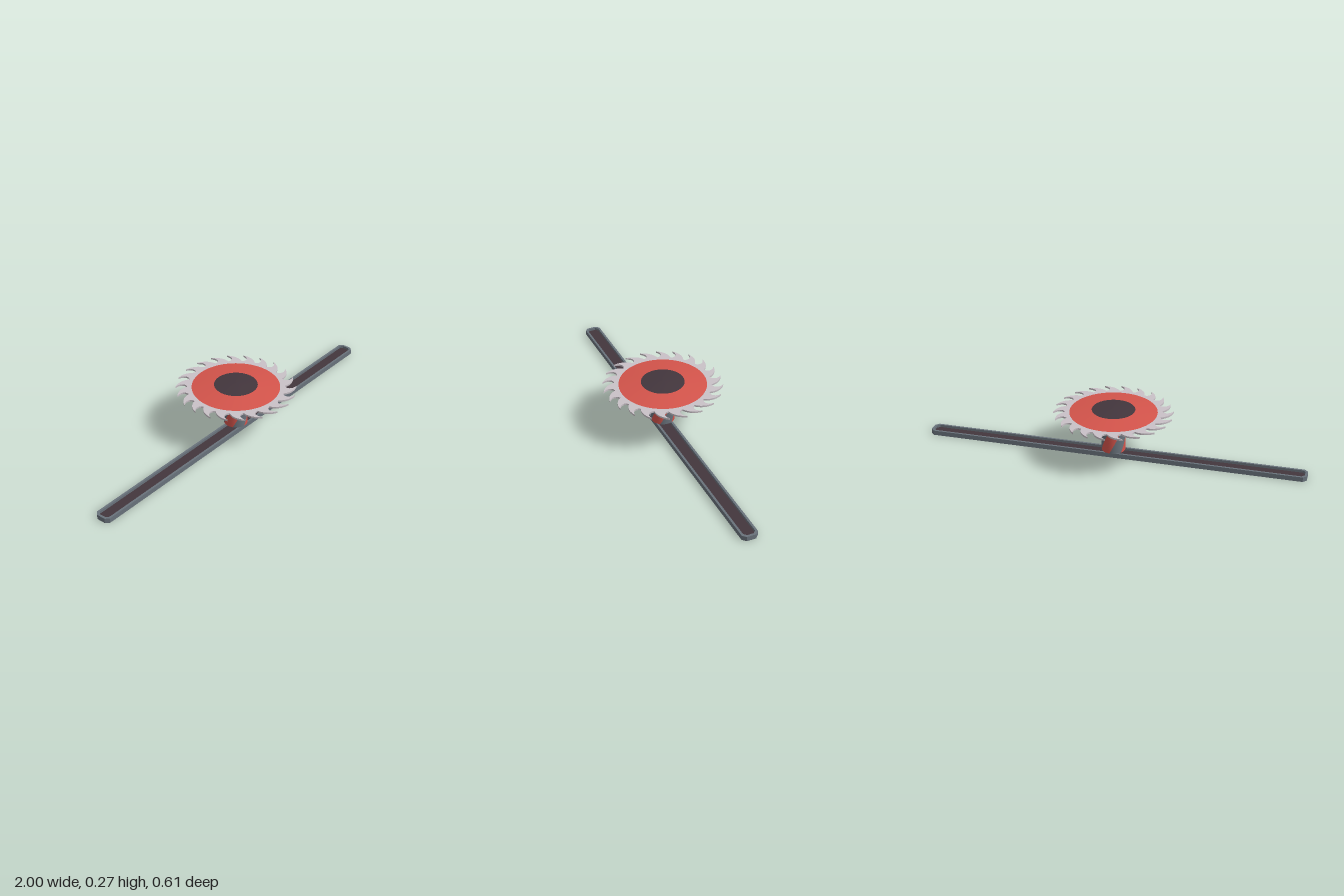
import * as THREE from 'three';

const rad = THREE.MathUtils.degToRad;
const mat = (name, color) => Object.assign(new THREE.MeshStandardMaterial({ color }), { name });

export function createModel() {
  const red = mat('red paint', 0xd4544b);
  const grey = mat('slate grey', 0x69727b);
  const dark = mat('dark metal', 0x43363d);
  const steel = mat('pale steel', 0xc9c1c7);

  const model = new THREE.Group();
  model.name = 'sawTrap';
  const add = (parent, name, geometry, material, x = 0, y = 0, z = 0) => {
    const mesh = new THREE.Mesh(geometry, material);
    mesh.name = name;
    mesh.position.set(x, y, z);
    parent.add(mesh);
    return mesh;
  };
  // Extrudes a plan outline upwards
  const slab = (shape, depth, curveSegments = 6) =>
    new THREE.ExtrudeGeometry(shape, { depth, bevelEnabled: false, curveSegments }).rotateX(-Math.PI / 2);

  // Rail: channel with chamfered ends and a dark slot floor
  const octagon = (a, b, c) => [
    [a, b - c], [a - c, b], [c - a, b], [-a, b - c],
    [-a, c - b], [c - a, -b], [a - c, -b], [a, c - b],
  ].map(([x, y]) => new THREE.Vector2(x, y));
  const rail = new THREE.Group();
  rail.name = 'rail';
  rail.position.z = 0.004;
  model.add(rail);
  const outer = octagon(1, 0.042, 0.018);
  const inner = octagon(0.988, 0.031, 0.014);
  const rim = new THREE.Shape(outer);
  rim.holes.push(new THREE.Path(inner));
  add(rail, 'railRim', slab(rim, 0.025), grey);
  add(rail, 'railBase', slab(new THREE.Shape(outer), 0.008), grey);
  add(rail, 'slotFloor', slab(new THREE.Shape(inner), 0.004), dark, 0, 0.008, 0);

  // Slider pin between rail and post
  add(model, 'sliderPin', new THREE.CylinderGeometry(0.023, 0.023, 0.03, 24), dark, 0, 0.025, 0);

  // Post: six twisted stripes, alternating red and grey
  const post = new THREE.Group();
  post.name = 'post';
  model.add(post);
  const radius = 0.061, height = 0.187, middle = 0.0345 + height / 2;
  const axis = new THREE.Vector3(0, 1, 0);
  const v = new THREE.Vector3();
  for (let i = 0; i < 6; i++) {
    const g = new THREE.CylinderGeometry(radius, radius, height, 8, 10, true, rad(86 + 60 * i), rad(60));
    const { position, normal } = g.attributes;
    for (let k = 0; k < position.count; k++) {
      const turn = -rad(92) * (0.5 - position.getY(k) / height);
      for (const attribute of [position, normal]) {
        v.fromBufferAttribute(attribute, k).applyAxisAngle(axis, turn);
        attribute.setXYZ(k, v.x, v.y, v.z);
      }
    }
    add(post, 'postStripe', g, i % 2 ? grey : red, 0, middle, 0);
  }
  add(post, 'postBottom', new THREE.CircleGeometry(radius, 48).rotateX(Math.PI / 2), grey, 0, middle - height / 2, 0);

  // Blade: thin toothed disc with hooked teeth
  const blade = new THREE.Group();
  blade.name = 'blade';
  blade.position.y = 0.242;
  model.add(blade);
  const teeth = 22, step = (Math.PI * 2) / teeth;
  const polar = (angle, r) => [r * Math.cos(angle), r * Math.sin(angle)];
  const outline = new THREE.Shape();
  const start = rad(97);
  outline.moveTo(...polar(start, 0.307));
  for (let i = 0; i < teeth; i++) {
    const a = start + i * step;
    // hooked front face, then the convex back of the next tooth
    outline.bezierCurveTo(...polar(a - 0.35 * step, 0.288), ...polar(a - 0.4 * step, 0.257), ...polar(a, 0.247));
    outline.quadraticCurveTo(...polar(a + 0.32 * step, 0.296), ...polar(a + step, 0.307));
  }
  add(blade, 'toothedDisc', slab(outline, 0.009), steel, 0, -0.0045, 0);

  // Domed covers with dark hubs, mirrored above and below the blade
  const points = (list) => list.map(([r, y]) => new THREE.Vector2(r, y));
  const cover = points([[0.229, 0.004], [0.17, 0.0115], [0.111, 0.0175]]);
  const hub = points([[0.111, 0.0175], [0.075, 0.0205], [0.035, 0.0235], [0, 0.0245]]);
  for (const side of ['upper', 'lower']) {
    const half = new THREE.Group();
    half.name = side + 'Cover';
    if (side === 'lower') half.rotation.x = Math.PI;
    blade.add(half);
    add(half, 'dome', new THREE.LatheGeometry(cover, 64), red);
    add(half, 'hub', new THREE.LatheGeometry(hub, 64), dark);
  }
  return model;
}
